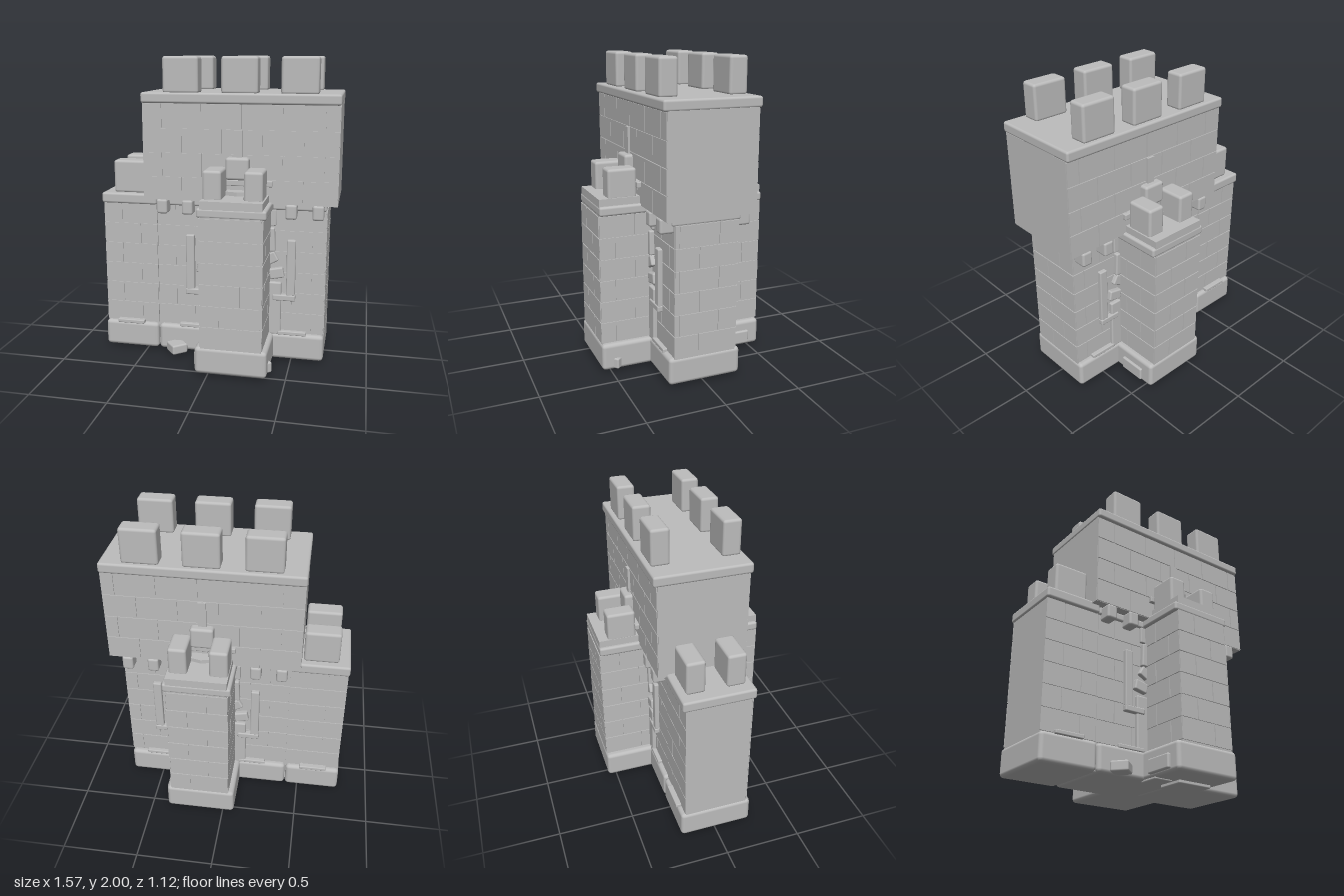
import * as THREE from 'three';
import { RoundedBoxGeometry } from 'three/addons/geometries/RoundedBoxGeometry.js';

export function createModel() {
  const root = new THREE.Group();
  root.name = 'castleGatehouse';
  const stone = new THREE.MeshStandardMaterial({ color: 0xbcbcbc });
  stone.name = 'grey stone';
  const CX = 0.155; // centre of the main wall and its buttresses

  // Box from its extents; a radius rounds the edges
  function block(name, [x0, x1], [y0, y1], [z0, z1], r = 0, parent = root) {
    const w = x1 - x0, h = y1 - y0, d = z1 - z0;
    const geo = r ? new RoundedBoxGeometry(w, h, d, 2, r) : new THREE.BoxGeometry(w, h, d);
    const mesh = new THREE.Mesh(geo, stone);
    mesh.name = name;
    mesh.position.set((x0 + x1) / 2, (y0 + y1) / 2, (z0 + z1) / 2);
    parent.add(mesh);
    return mesh;
  }

  // The same block on the front and the back
  function both(name, x, y, [z0, z1], r = 0, spin = 0) {
    for (const z of [[z0, z1], [-z1, -z0]]) block(name, x, y, z, r).rotation.z = spin;
  }

  // Running-bond courses of thin bricks on a wall face.
  // axis 'z': face at z = at, spanning x; axis 'x': face at x = at, spanning z.
  function bricks(name, axis, at, [a0, a1], [y0, y1], rows, length) {
    const group = new THREE.Group();
    group.name = name;
    const gap = 0.003, h = (y1 - y0) / rows;
    const depth = at > 0 && axis === 'z' || axis === 'x' && at > CX ? [at - 0.006, at] : [at, at + 0.006];
    for (let i = 0; i < rows; i++) {
      const y = [y0 + i * h + gap, y0 + (i + 1) * h - gap];
      for (let a = a0 - (i % 2 ? length / 2 : 0); a < a1 - 0.02; a += length) {
        const s = [Math.max(a, a0) + gap, Math.min(a + length, a1) - gap];
        if (axis === 'z') block('brick', s, y, depth, 0, group);
        else block('brick', depth, y, s, 0, group);
      }
    }
    root.add(group);
  }

  // Low wall on the right with its coping and merlons
  block('lowWall', [-0.78, -0.41], [0.05, 1.05], [-0.209, 0.209]);
  block('lowWallCoping', [-0.79, -0.41], [1.035, 1.105], [-0.235, 0.235], 0.015);
  both('lowWallMerlon', [-0.715, -0.485], [1.1, 1.32], [0.068, 0.19], 0.018);

  // Main wall
  block('mainWall', [-0.41, 0.709], [0.03, 1.08], [-0.204, 0.204]);
  block('mainWallCoping', [-0.41, 0.712], [1.035, 1.09], [-0.225, 0.225], 0.015);
  bricks('wallEndBricks', 'x', 0.715, [-0.21, 0.21], [0.2, 1.04], 6, 0.26);

  // Upper storey, roof slab and battlements
  block('upperStorey', [-0.475, 0.78], [1.085, 1.715], [-0.284, 0.284]);
  block('roofSlab', [-0.48, 0.782], [1.71, 1.777], [-0.308, 0.308], 0.015);
  for (const x of [-0.225, 0.153, 0.527])
    both('roofMerlon', [x - 0.116, x + 0.116], [1.77, 2], [0.162, 0.28], 0.018);

  // Bricks on the long faces
  for (const s of [-1, 1]) {
    bricks('lowWallBricks', 'z', s * 0.215, [-0.785, -0.41], [0.2, 1.04], 6, 0.26);
    bricks('mainWallBricks', 'z', s * 0.21, [-0.41, 0.712], [0.2, 1.04], 6, 0.26);
    bricks('upperBricks', 'z', s * 0.29, [-0.475, 0.78], [1.085, 1.71], 4, 0.26);
  }

  // Buttresses on the front and the back
  both('buttress', [-0.039, 0.349], [0.03, 1.145], [0.2, 0.554]);
  both('buttressCoping', [-0.062, 0.372], [1.04, 1.1], [0.2, 0.557], 0.015);
  for (const s of [-1, 1]) {
    const span = s > 0 ? [0.2, 0.56] : [-0.56, -0.2];
    bricks('buttressFaceBricks', 'z', s * 0.56, [-0.045, 0.355], [0.2, 1.04], 6, 0.26);
    bricks('buttressSideBricks', 'x', -0.045, span, [0.2, 1.04], 6, 0.26);
    bricks('buttressSideBricks', 'x', 0.355, span, [0.2, 1.04], 6, 0.26);
  }
  for (const x of [0.023, 0.28])
    both('buttressMerlon', [x - 0.059, x + 0.059], [1.13, 1.322], [0.305, 0.492], 0.018);

  // Foundation stones
  for (const x of [[-0.79, -0.412], [-0.405, 0.16], [0.15, 0.715]])
    block('wallFoundation', x, [0.02, 0.197], [-0.24, 0.24], 0.025);
  both('buttressFoundation', [-0.08, 0.385], [0.02, 0.197], [0.1, 0.562], 0.025);
  for (const x of [-0.605, -0.165, 0.505])
    both('foundationLedge', [x - 0.095, x + 0.095], [0.19, 0.216], [0.19, x < -0.5 ? 0.25 : 0.238], 0.006);
  block('footSlab', [0.08, 0.33], [0, 0.03], [0.2, 0.38], 0.008);
  block('footSlab', [-0.07, 0.06], [0.01, 0.03], [0.2, 0.34], 0.008);
  block('sideStone', [-0.1, -0.06], [0.04, 0.13], [0.3, 0.49], 0.01);
  block('sideStone', [0.36, 0.402], [0.04, 0.13], [-0.48, -0.3], 0.01);
  block('looseStone', [-0.325, -0.215], [0.025, 0.09], [0.22, 0.33], 0.012).rotation.y = 0.7;
  block('looseStone', [0.35, 0.4], [0.03, 0.1], [0.44, 0.49], 0.01).rotation.y = 0.7;

  // Corbels below the upper storey
  for (const x of [-0.355, -0.185, 0.49, 0.66])
    both('corbel', [x - 0.036, x + 0.036], [0.992, 1.088], [0.2, 0.296], 0.015);

  // Wall frames: jambs, sills and tilted arch stones beside the buttresses
  for (const s of [-1, 1]) {
    const at = (a, b) => s > 0 ? [CX + a, CX + b] : [CX - b, CX - a];
    both('frameJamb', at(0.308, 0.365), [0.465, 0.842], [0.2, 0.238], 0.008);
    both('frameSill', at(0.22, 0.368), [0.43, 0.47], [0.2, 0.243], 0.008);
    both('archPillar', at(0.19, 0.275), [0.19, 0.552], [0.2, 0.235], 0.01);
    both('archStone', at(0.195, 0.29), [0.58, 0.65], [0.2, 0.242], 0.01, s * 0.2);
    both('archStone', at(0.17, 0.245), [0.68, 0.75], [0.2, 0.238], 0.01, s * 0.5);
    both('archStone', at(0.18, 0.23), [0.76, 0.92], [0.2, 0.24], 0.01, s * 0.04);
    both('archStone', at(0.18, 0.235), [0.93, 1.04], [0.2, 0.225], 0.008);
  }

  // Cross-shaped arrow loop with its keystone
  both('loopSlit', [0.125, 0.178], [1.18, 1.55], [0.28, 0.305]);
  both('loopBar', [-0.06, 0.372], [1.2, 1.238], [0.28, 0.315], 0.006);
  both('loopKeystone', [0.077, 0.226], [1.24, 1.382], [0.27, 0.343], 0.018);

  // Pointed step under each loop
  const step = new THREE.Shape([[0.08, 0.28], [0.23, 0.28], [0.23, 0.35], [CX, 0.368], [0.08, 0.35]]
    .map(([x, z]) => new THREE.Vector2(x - CX, z)));
  const stepGeo = new THREE.ExtrudeGeometry(step, { depth: 0.03, bevelEnabled: false }).rotateX(Math.PI / 2);
  for (const turn of [0, Math.PI]) {
    const mesh = new THREE.Mesh(stepGeo, stone);
    mesh.name = 'loopStep';
    mesh.position.set(CX, 1.17, 0);
    mesh.rotation.y = turn;
    root.add(mesh);
  }
  return root;
}
